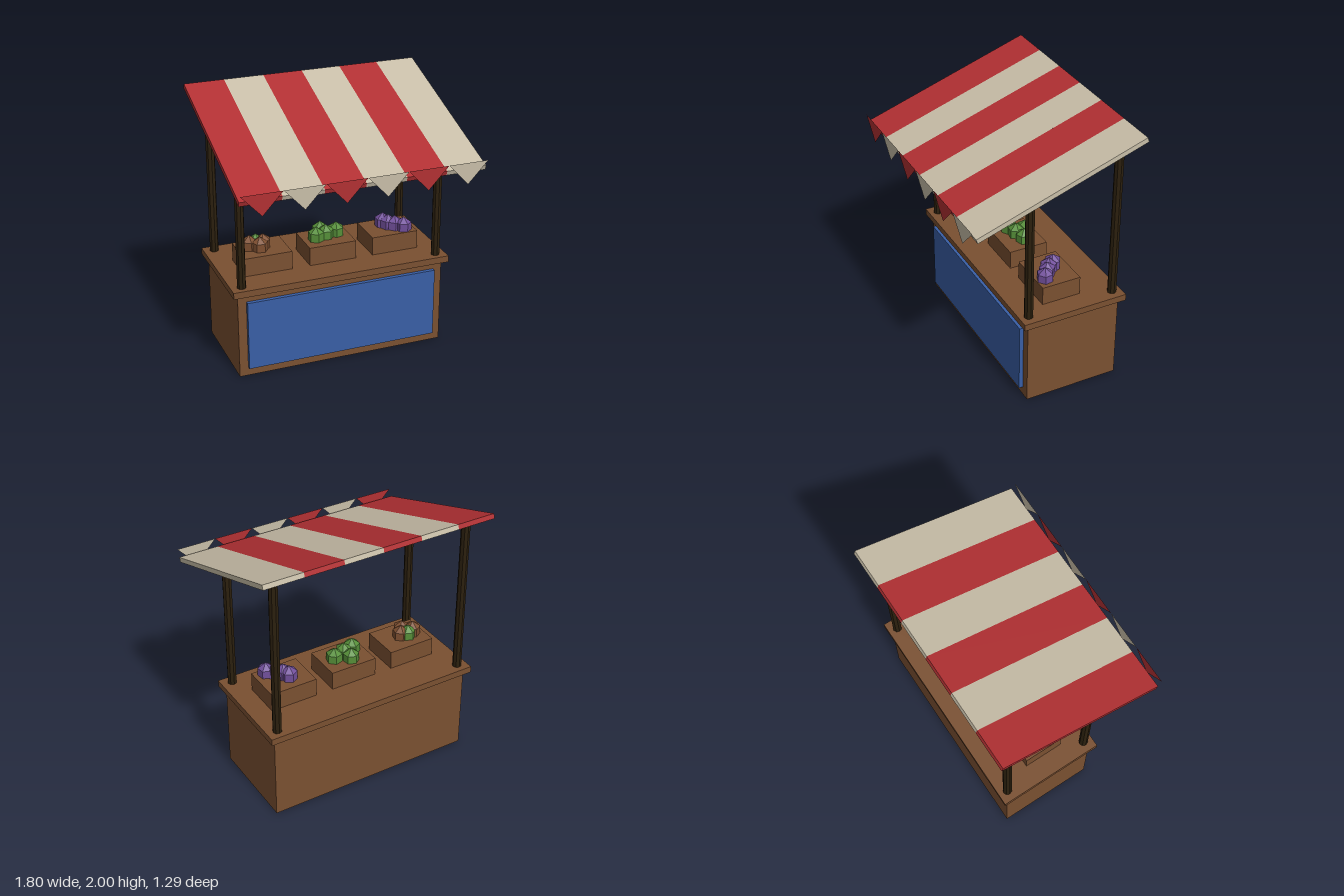
import * as THREE from 'three';

const mat = (name, color) => {
  const m = new THREE.MeshStandardMaterial({ color });
  m.name = name;
  return m;
};

export function createModel() {
  const group = new THREE.Group();
  group.name = 'marketStall';

  const wood = mat('wood', 0x7a5031);
  const darkWood = mat('darkWood', 0x2c200e);
  const blue = mat('bluePanel', 0x395fa6);
  const red = mat('redCloth', 0xb23033);
  const cream = mat('creamCloth', 0xc8bea8);
  const green = mat('greenProduce', 0x568f39);
  const purple = mat('purpleProduce', 0x72509c);
  const brown = mat('brownProduce', 0x7f5031);
  red.side = cream.side = THREE.DoubleSide;

  const add = (name, geometry, material, x, y, z, parent = group) => {
    const mesh = new THREE.Mesh(geometry, material);
    mesh.name = name;
    mesh.position.set(x, y, z);
    parent.add(mesh);
    return mesh;
  };
  const box = (w, h, d) => new THREE.BoxGeometry(w, h, d);

  // Faceted prism with a pointed top, standing on y = 0
  const pointed = (radius, wall, peak, sides) => {
    const profile = [[0, 0], [radius, 0], [radius, wall], [0, peak]];
    const g = new THREE.LatheGeometry(profile.map(p => new THREE.Vector2(...p)), sides).toNonIndexed();
    g.computeVertexNormals();
    return g;
  };

  // Counter
  add('counterBody', box(1.6, 0.66, 0.725), wood, 0, 0.33, -0.182);
  add('counterTop', box(1.68, 0.05, 0.81), wood, 0, 0.685, -0.18);
  add('frontPanel', box(1.47, 0.535, 0.03), blue, 0, 0.335, 0.196);

  // Posts, tall at the back
  for (const side of [-1, 1]) {
    add('frontPost', pointed(0.033, 0.92, 0.94, 8), darkWood, side * 0.76, 0.71, 0.156);
    add('backPost', pointed(0.033, 1.21, 1.23, 8), darkWood, side * 0.76, 0.71, -0.514);
  }

  // Sloping striped canopy with a row of pennants along the front
  const canopy = new THREE.Group();
  canopy.name = 'canopy';
  canopy.position.set(0, 1.767, -0.015);
  canopy.rotation.x = 0.329;
  group.add(canopy);
  const flagShape = new THREE.Shape([
    new THREE.Vector2(-0.15, 0), new THREE.Vector2(0, -0.16), new THREE.Vector2(0.15, 0),
  ]);
  const flagGeometry = new THREE.ShapeGeometry(flagShape);
  const stripeGeometry = box(0.3, 0.036, 1.326);
  for (let i = 0; i < 6; i++) {
    const x = -0.75 + i * 0.3;
    const cloth = i % 2 ? cream : red;
    add('canopyStripe', stripeGeometry, cloth, x, 0, 0, canopy);
    add('pennant', flagGeometry, cloth, x, 1.62, 0.645);
  }

  // Crates, each with a pile of produce: [x, z, material]
  const crates = [
    [-0.502, [[-0.595, -0.16, brown], [-0.53, -0.11, brown], [-0.492, -0.16, brown], [-0.54, -0.18, green]]],
    [0, [[-0.088, -0.12, green], [-0.005, -0.14, green], [0.085, -0.16, green], [-0.02, -0.22, green]]],
    [0.498, [[0.475, -0.185, purple], [0.5, -0.14, purple], [0.54, -0.105, purple], [0.594, -0.06, purple]]],
  ];
  const itemGeometry = pointed(0.06, 0.065, 0.108, 6);
  for (const [crateX, items] of crates) {
    add('crate', box(0.365, 0.14, 0.3), wood, crateX, 0.78, -0.147);
    items.forEach(([x, z, material], i) => {
      add('produce', itemGeometry, material, x, 0.85 - i * 0.0015, z).rotation.y = i * 0.4;
    });
  }
  return group;
}
